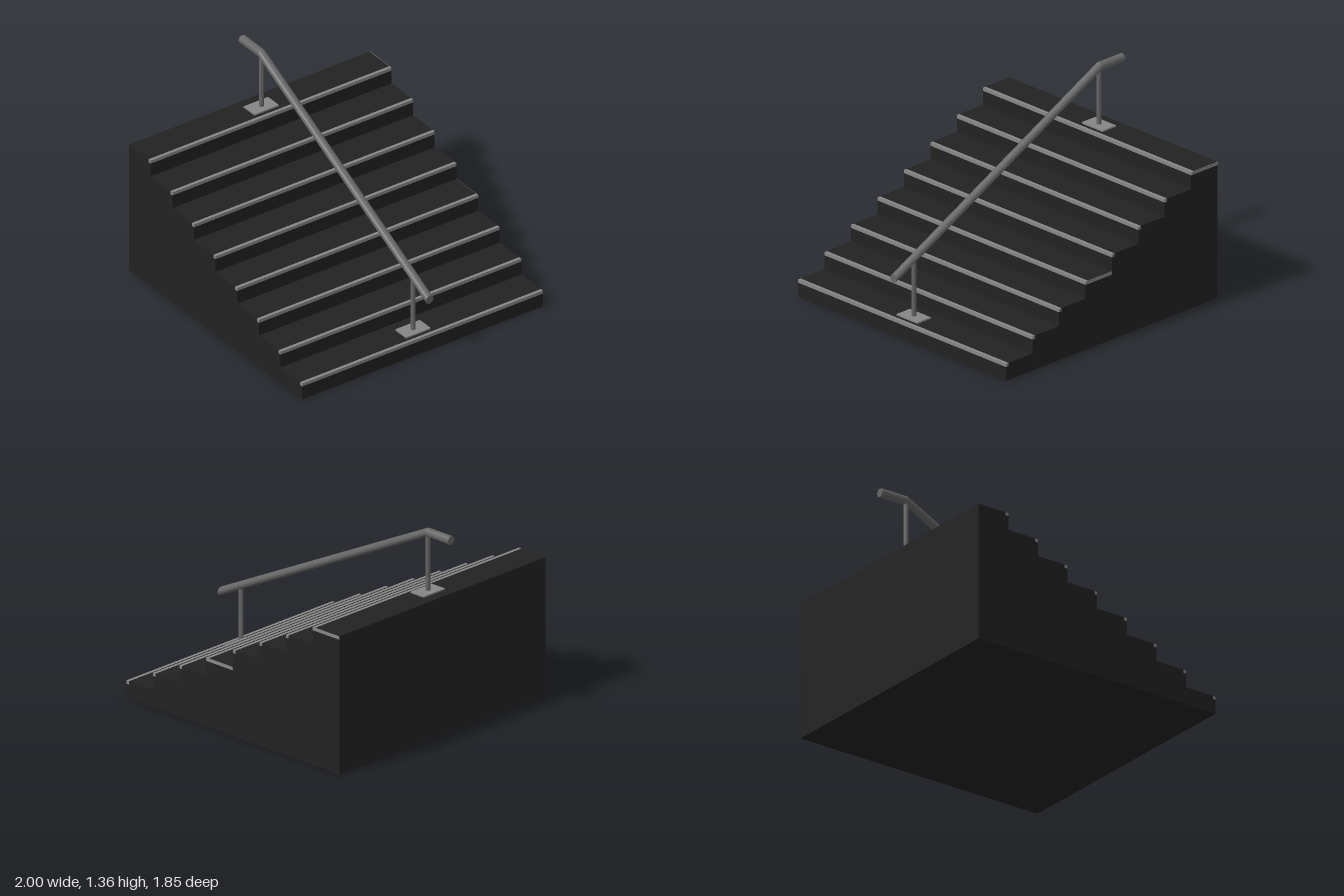
import * as THREE from 'three';

const STEPS = 8, HALF = 0.925, RUN = 2 * HALF / STEPS, RISE = 0.927 / STEPS;
const NOSE = 0.022;

export function createModel() {
  const group = new THREE.Group();
  const mat = (name, color, flatShading = false) => {
    const m = new THREE.MeshStandardMaterial({ color, flatShading });
    m.name = name;
    return m;
  };
  const stone = mat('dark stone', 0x222222);
  const trim = mat('grey trim', 0x868686);
  const steel = mat('steel', 0x666666, true);

  const add = (name, geometry, material, x = 0, y = 0, z = 0) => {
    const mesh = new THREE.Mesh(geometry, material);
    mesh.name = name;
    mesh.position.set(x, y, z);
    group.add(mesh);
    return mesh;
  };

  // Stair body: side profile with a notch for each nosing
  const profile = new THREE.Shape();
  profile.moveTo(-HALF, 0);
  profile.lineTo(HALF, 0);
  for (let i = 0; i < STEPS; i++) {
    const x = HALF - i * RUN, y = (i + 1) * RISE;
    profile.lineTo(x, y - NOSE);
    profile.lineTo(x - NOSE, y - NOSE);
    profile.lineTo(x - NOSE, y);
    profile.lineTo(x - RUN, y);
  }
  const body = new THREE.ExtrudeGeometry(profile, { depth: 2 * HALF, bevelEnabled: false });
  add('stairBody', body, stone, 0, 0, -HALF);

  // Nosing strips along the step edges
  for (let i = 0; i < STEPS; i++) {
    add('nosing', new THREE.BoxGeometry(NOSE, NOSE, 2 * HALF), trim,
      HALF - i * RUN - NOSE / 2, (i + 1) * RISE - NOSE / 2, 0);
  }

  // Thin edge strips on the back side of the fourth and top steps
  for (const i of [3, 7]) {
    add('sideStrip', new THREE.BoxGeometry(RUN, NOSE, 0.003), trim,
      HALF - (i + 0.5) * RUN, (i + 1) * RISE - NOSE / 2, -HALF - 0.0005);
  }

  // Handrail: level at the top, then sloping, with upright cut ends
  const path = [[-1, 1.326], [-0.795, 1.326], [1, 0.43]];
  const rail = new THREE.CylinderGeometry(0.029, 0.029, 2, 12, 2);
  rail.rotateZ(-Math.PI / 2);
  const p = rail.attributes.position;
  for (let i = 0; i < p.count; i++) {
    const [x, y] = path[Math.round(p.getX(i)) + 1];
    p.setXY(i, x, p.getY(i) + y);
  }
  rail.computeVertexNormals();
  add('handrail', rail, steel);

  // Posts with base plates
  for (const [x, base, top] of [[-0.797, STEPS * RISE, 1.32], [0.823, RISE, 0.515]]) {
    add('post', new THREE.CylinderGeometry(0.016, 0.016, top - base, 12), steel, x, (base + top) / 2, 0);
    add('basePlate', new THREE.BoxGeometry(0.117, 0.01, 0.187), trim, x, base + 0.005, 0);
  }
  return group;
}
